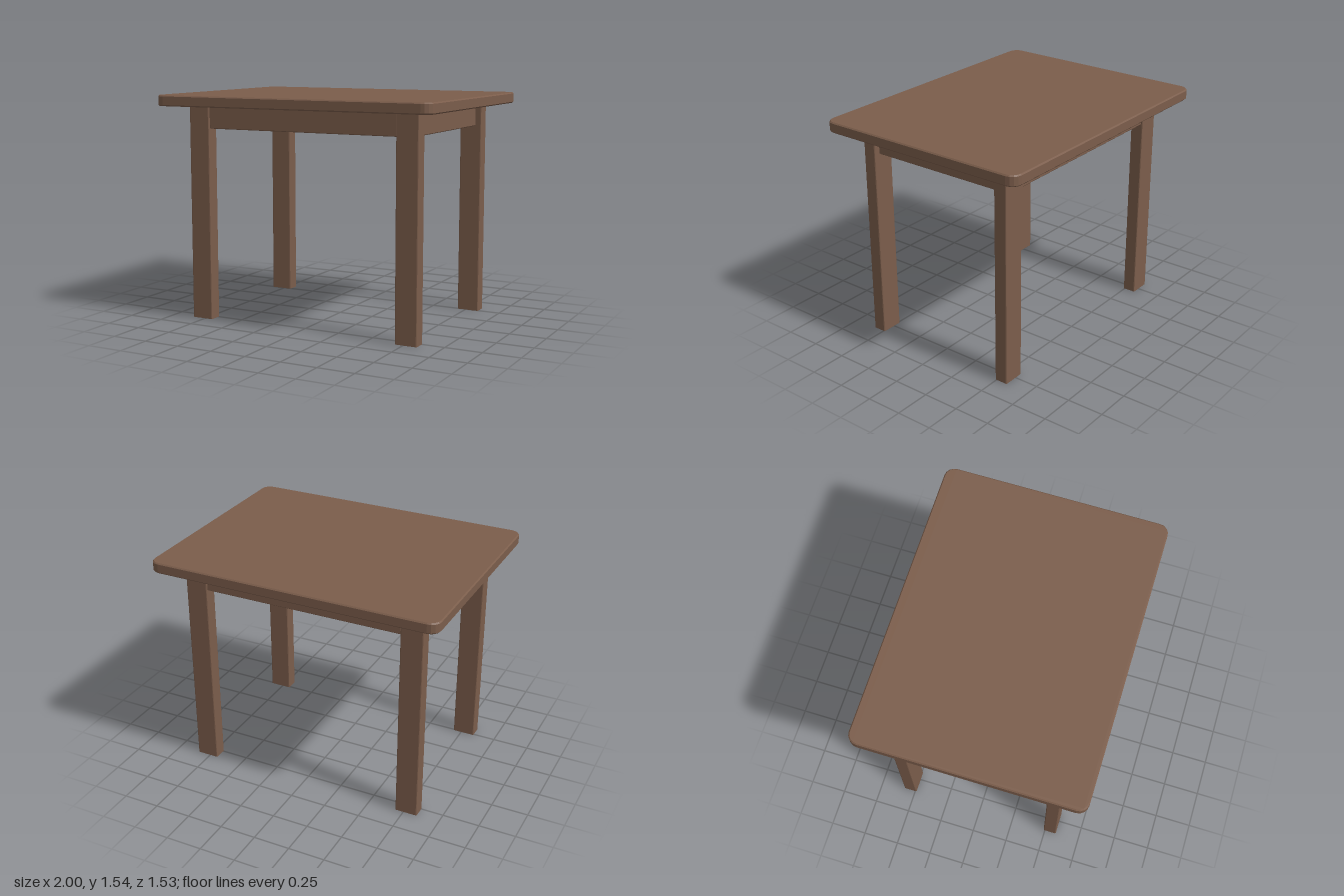
import * as THREE from 'three';

// Horizontal slab with rounded corners and a small bevel, standing on y = 0
function slab(width, height, depth, radius, segments, bevel) {
  const x = width / 2 - bevel, z = depth / 2 - bevel, r = radius;
  const s = new THREE.Shape();
  s.moveTo(-x + r, -z);
  s.lineTo(x - r, -z);
  s.absarc(x - r, -z + r, r, -Math.PI / 2, 0);
  s.lineTo(x, z - r);
  s.absarc(x - r, z - r, r, 0, Math.PI / 2);
  s.lineTo(-x + r, z);
  s.absarc(-x + r, z - r, r, Math.PI / 2, Math.PI);
  s.lineTo(-x, -z + r);
  s.absarc(-x + r, -z + r, r, Math.PI, Math.PI * 1.5);
  const geometry = new THREE.ExtrudeGeometry(s, {
    depth: height - 2 * bevel,
    curveSegments: segments,
    bevelEnabled: bevel > 0,
    bevelThickness: bevel,
    bevelSize: bevel,
    bevelSegments: 1,
  });
  return geometry.rotateX(-Math.PI / 2).translate(0, bevel, 0);
}

export function createModel() {
  const table = new THREE.Group();
  table.name = 'table';
  const wood = new THREE.MeshStandardMaterial({ color: 0x7b5d4b });
  wood.name = 'brown wood';

  function add(name, geometry, x, y, z) {
    const mesh = new THREE.Mesh(geometry, wood);
    mesh.name = name;
    mesh.position.set(x, y, z);
    table.add(mesh);
  }

  const underside = 1.467, legX = 0.768, legZ = 0.536;

  // Table top with rounded corners
  add('tableTop', slab(2, 0.073, 1.532, 0.06, 2, 0.008), 0, underside, 0);

  // Four legs with chamfered upright edges
  const leg = slab(0.154, underside, 0.092, 0.007, 1, 0);
  for (const sx of [-1, 1]) {
    for (const sz of [-1, 1]) {
      add((sz > 0 ? 'front' : 'back') + (sx > 0 ? 'Left' : 'Right') + 'Leg', leg, sx * legX, 0, sz * legZ);
    }
  }

  // Aprons between the legs
  const apronY = 1.313, apronH = underside - apronY;
  const longApron = slab(1.385, apronH, 0.07, 0.002, 1, 0.005);
  const shortApron = slab(0.07, apronH, 0.985, 0.002, 1, 0.005);
  for (const s of [-1, 1]) {
    add(s > 0 ? 'frontApron' : 'backApron', longApron, 0, apronY, s * legZ);
    add(s > 0 ? 'leftApron' : 'rightApron', shortApron, s * legX, apronY, 0);
  }
  return table;
}
